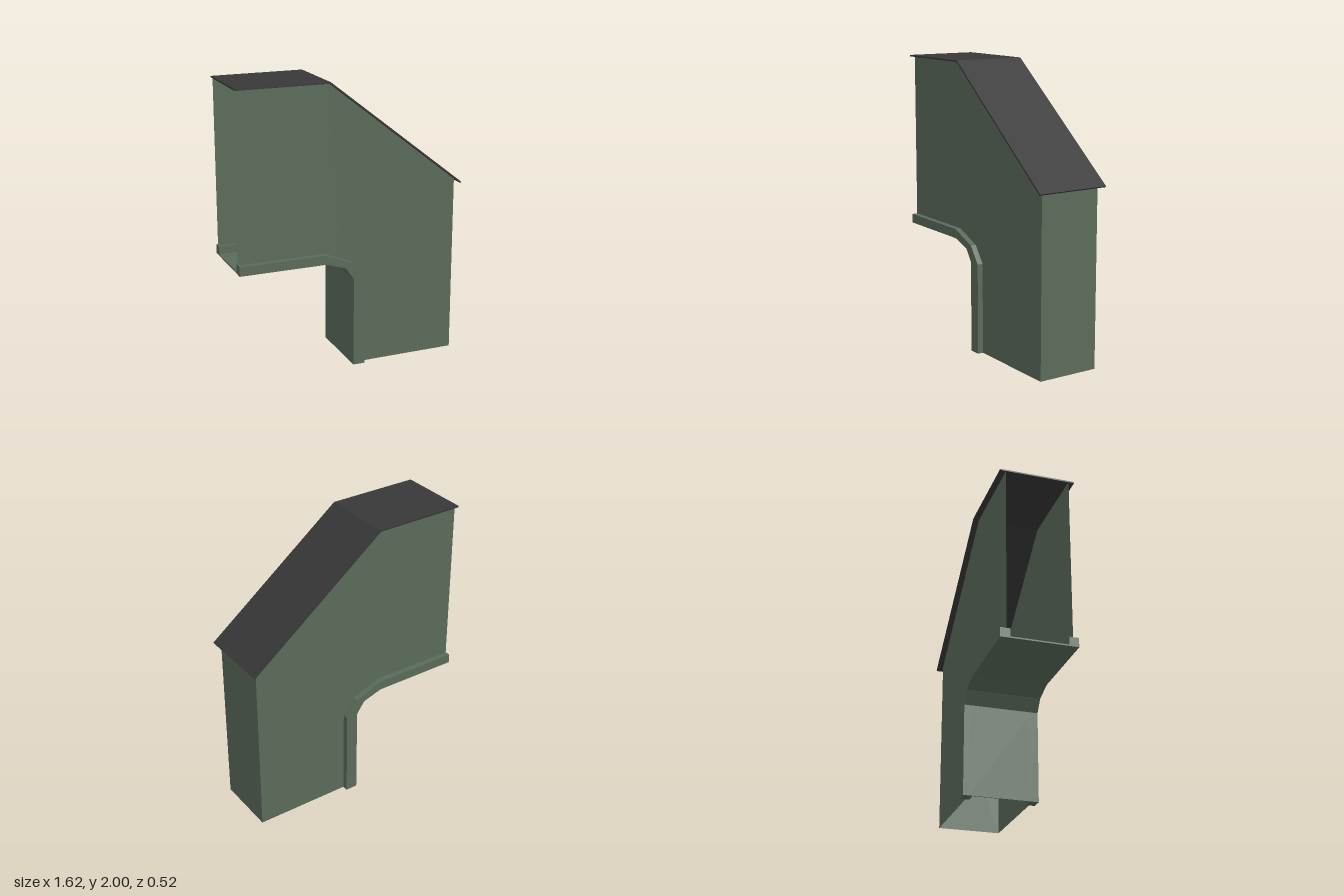
import * as THREE from 'three';

const green = new THREE.MeshStandardMaterial({ color: 0x5a6b5a, side: THREE.DoubleSide });
const dark = new THREE.MeshStandardMaterial({ color: 0x383838 });

const WALL_Z = 0.22, OUTER_Z = 0.26;

// Arch line under the housing, from the open end to the foot
const arch = [[-0.81, 0.765], [-0.2, 0.765], [-0.06, 0.72], [0, 0.635], [0, 0]];
const archOuter = [[-0.81, 0.83], [-0.2, 0.83], [0, 0.75], [0.085, 0.635], [0.085, 0]];
const archInner = [[-0.81, 0.775], [-0.2, 0.775], [-0.055, 0.728], [0.008, 0.637], [0.008, 0]];

const shapeOf = (pts) => new THREE.Shape(pts.map(([x, y]) => new THREE.Vector2(x, y)));
const band = (a, b) => shapeOf([...a, ...[...b].reverse()]);

// Extrude a side profile between two z values
function slab(name, shape, z0, z1, material) {
  const geometry = new THREE.ExtrudeGeometry(shape, { depth: z1 - z0, bevelEnabled: false });
  geometry.translate(0, 0, z0);
  const mesh = new THREE.Mesh(geometry, material);
  mesh.name = name;
  return mesh;
}

export function createModel() {
  const model = new THREE.Group();
  model.name = 'chuteHousing';

  // Side walls and the raised trim along the arch
  const wall = shapeOf([...arch, [0.77, 0], [0.77, 1.255], [-0.17, 1.992], [-0.81, 1.992]]);
  for (const [side, s] of [['front', 1], ['back', -1]]) {
    const panel = new THREE.Mesh(new THREE.ShapeGeometry(wall), green);
    panel.name = side + 'Wall';
    panel.position.z = s * WALL_Z;
    model.add(panel);
    const z = [s * 0.195, s * OUTER_Z].sort((a, b) => a - b);
    model.add(slab(side + 'ArchTrim', band(arch, archOuter), z[0], z[1], green));
  }

  // End wall; the foot and the opposite end stay open
  const end = new THREE.Mesh(new THREE.PlaneGeometry(WALL_Z * 2, 1.255), green);
  end.name = 'endWall';
  end.rotation.y = Math.PI / 2;
  end.position.set(0.77, 0.6275, 0);
  model.add(end);

  // Folded panel between the two trims
  model.add(slab('archPanel', band(arch, archInner), -WALL_Z, WALL_Z, green));

  // Roof sheet with a flat part and a slope
  const roofTop = [[-0.81, 2], [-0.166, 2], [0.807, 1.237]];
  const roofUnder = [[-0.81, 1.99], [-0.17, 1.99], [0.8, 1.229]];
  model.add(slab('roof', band(roofTop, roofUnder), -OUTER_Z, OUTER_Z, dark));

  return model;
}
